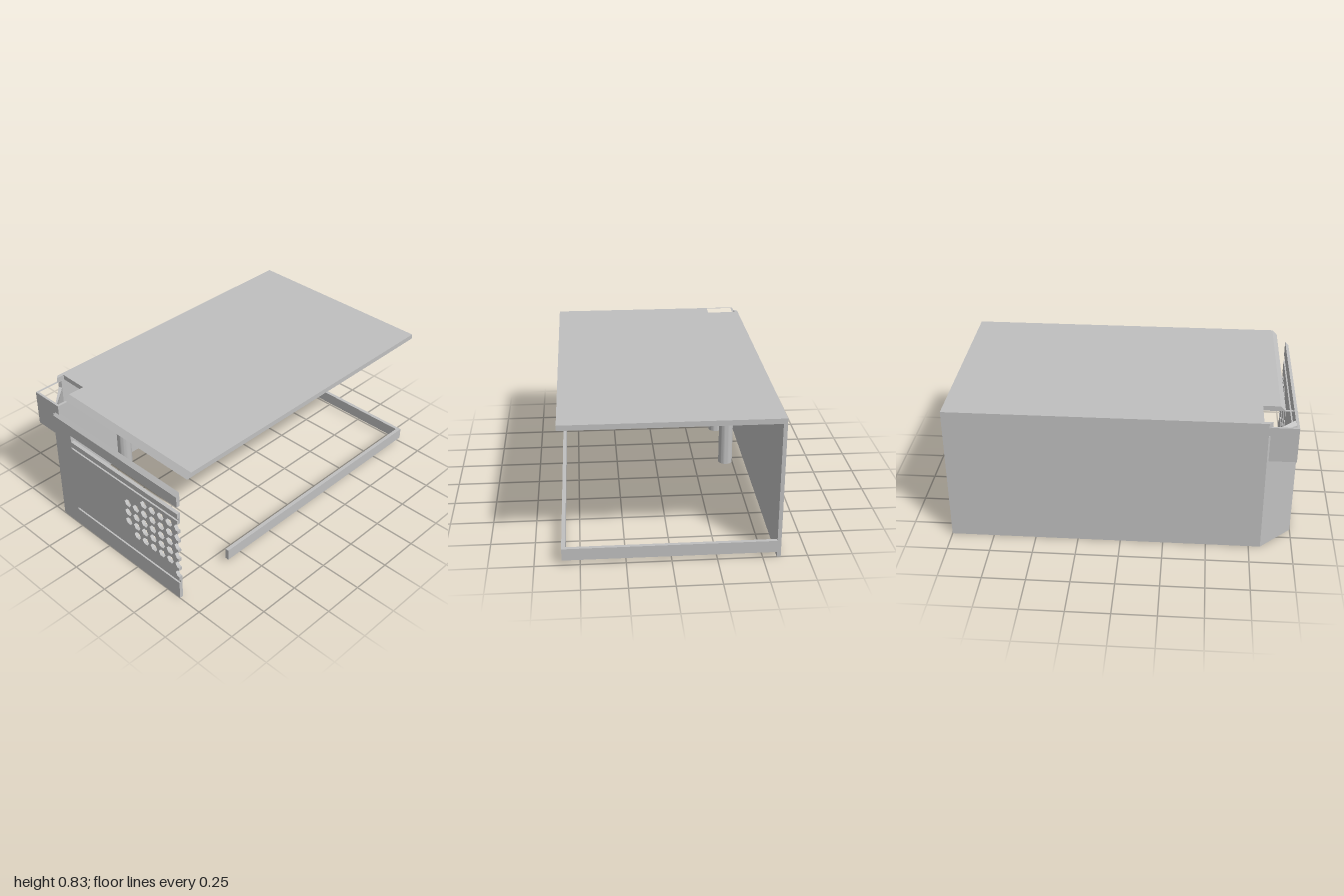
import * as THREE from 'three';
import { toCreasedNormals } from 'three/addons/utils/BufferGeometryUtils.js';

const T = 0.022; // sheet thickness

export function createModel() {
  const model = new THREE.Group();
  model.name = 'corner cut enclosure';
  const grey = new THREE.MeshStandardMaterial({ color: 0xc0c0c0 });
  grey.name = 'light grey';

  const add = (name, geometry) => {
    const mesh = new THREE.Mesh(geometry, grey);
    mesh.name = name;
    model.add(mesh);
    return mesh;
  };
  const toShape = (pts) => new THREE.Shape(pts.map(([x, y]) => new THREE.Vector2(x, y)));

  // Move every vertex of a geometry by a rule, then refresh the normals
  const bend = (geometry, rule) => {
    const p = geometry.attributes.position;
    const v = new THREE.Vector3();
    for (let i = 0; i < p.count; i++) {
      rule(v.fromBufferAttribute(p, i));
      p.setXYZ(i, v.x, v.y, v.z);
    }
    geometry.computeVertexNormals();
    return geometry;
  };

  // Raise a floor plan of [x, z] points from y0 to y1
  const raise = (pts, y0, y1, hole) => {
    const shape = toShape(pts.map(([x, z]) => [x, -z]));
    if (hole) shape.holes.push(toShape(hole.map(([x, z]) => [x, -z])));
    return new THREE.ExtrudeGeometry(shape, { depth: y1 - y0, bevelEnabled: false })
      .rotateX(-Math.PI / 2).translate(0, y0, 0);
  };
  const rect = (x0, z0, x1, z1) => [[x0, z0], [x1, z0], [x1, z1], [x0, z1]];

  // Top plate with a corner notch and a sloping front edge
  const top = raise([[-0.6, -1], [0.6, -1], [0.6, 0.92], [-0.4, 0.92], [-0.4, 0.79],
    [-0.578, 0.79], [-0.578, 0.84], [-0.6, 0.818]], 0.8, 0.83);
  add('topPlate', bend(top, (v) => { if (v.z > 0.9 && v.y > 0.815) v.z -= 0.03; }));

  // Side wall and the slanted corner wall
  add('sideWall', raise([[-0.6, -1], [-0.6 + T, -1], [-0.6 + T, 0.81], [-0.6, 0.818]], 0, 0.8));
  const corner = raise([[-0.6, 0.818], [-0.578, 0.81], [-0.411, 0.978], [-0.42, 1]], 0, 0.75);
  add('cornerWall', bend(corner, (v) => { if (v.y > 0.7 && v.z > 0.99) v.y -= 0.022; }));

  // Open square sleeve around the corner wall
  add('cornerSleeve', raise(rect(-0.59, 0.775, -0.385, 0.985), 0.585, 0.8,
    rect(-0.576, 0.79, -0.4, 0.971)));

  // Front panel: rows of hexagons, the last of each row cut by the open edge
  const R = 0.027, H = R * Math.sqrt(3) / 2, PITCH = 0.0667;
  const rows = [[0.183, 1], [0.25, 6], [0.318, 7], [0.384, 7], [0.45, 7], [0.518, 5]];
  const notch = (y0, y1, x) => [[0.6, y0], [x, y0], [x, y1], [0.6, y1]];
  const panelLayer = (grooves, z0, depth) => {
    const edge = [];
    if (grooves) edge.push(...notch(0.115, 0.131, -0.275));
    for (const [y] of rows) {
      edge.push([0.6, y - H], [0.6 - R / 2, y - H], [0.6 - R, y], [0.6 - R / 2, y + H], [0.6, y + H]);
    }
    if (grooves) edge.push(...notch(0.567, 0.581, -0.275));
    edge.push(...notch(0.615, 0.66, -0.275));
    const shape = toShape([[-0.42, 0], [0.6, 0], ...edge, [0.6, 0.75], [-0.42, 0.75]]);
    for (const [y, count] of rows) {
      for (let i = 1; i < count; i++) {
        const hex = new THREE.Path();
        hex.absarc(0.6 - i * PITCH, y, R, 0, Math.PI * 2, false);
        shape.holes.push(new THREE.Path(hex.getPoints(3).slice(0, 6)));
      }
    }
    const g = new THREE.ExtrudeGeometry(shape, { depth, bevelEnabled: false }).translate(0, 0, z0);
    // Slope the top edge down towards the front
    return bend(g, (v) => { if (v.y > 0.74) v.y -= v.z - (1 - T); });
  };
  add('frontPanelBack', panelLayer(false, 1 - T, T - 0.01));
  add('frontPanelFace', panelLayer(true, 0.99, 0.01));

  // Low rails along the back and the open side
  add('baseRail', raise([[-0.6 + T, -1], [0.6, -1], [0.6, 0.62], [0.6 - T, 0.62],
    [0.6 - T, -1 + T], [-0.6 + T, -1 + T]], 0.03, 0.1));

  // Hollow round posts hanging beside the wall
  for (const z of [0.502, 0.002]) {
    const ring = new THREE.Shape().absarc(0, 0, 0.043, 0, Math.PI * 2, false);
    ring.holes.push(new THREE.Path().absarc(0, 0, 0.018, 0, Math.PI * 2, true));
    const g = new THREE.ExtrudeGeometry(ring, { depth: 0.69, bevelEnabled: false, curveSegments: 32 });
    g.rotateX(-Math.PI / 2);
    add('post', toCreasedNormals(g, 0.6)).position.set(-0.425, 0.1, z);
  }
  return model;
}
